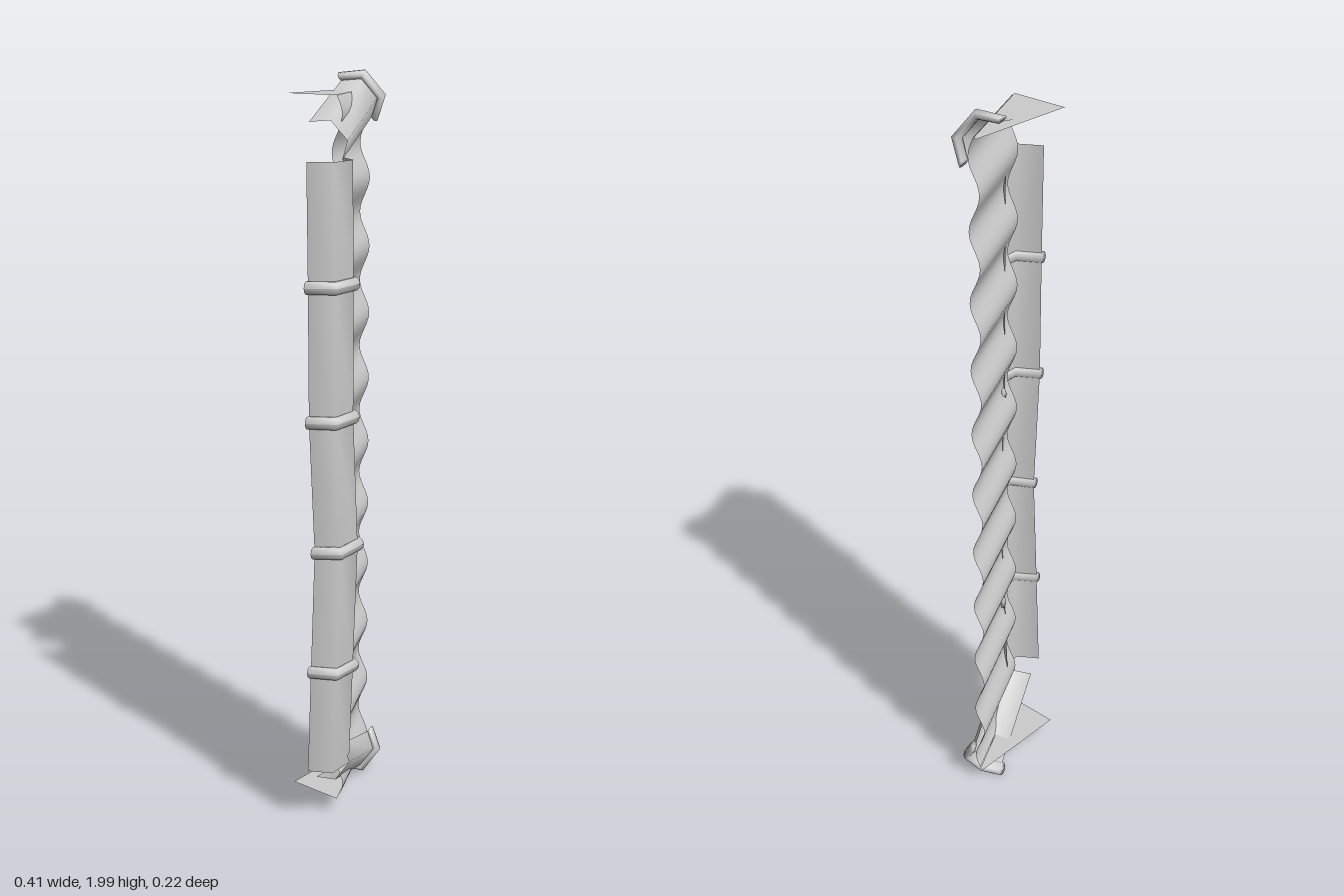
import * as THREE from 'three';

const V = (x, y, z) => new THREE.Vector3(x, y, z);
const material = new THREE.MeshStandardMaterial({ color: 0xcccccc, side: THREE.DoubleSide });

// Smooth surface through rows of points
function loft(name, rows) {
  const n = rows[0].length, index = [];
  for (let i = 0; i < rows.length - 1; i++) {
    for (let j = 0; j < n - 1; j++) {
      const a = i * n + j, b = a + 1, c = a + n, d = c + 1;
      index.push(a, b, c, b, d, c);
    }
  }
  const geometry = new THREE.BufferGeometry().setFromPoints(rows.flat());
  geometry.setIndex(index);
  geometry.computeVertexNormals();
  const mesh = new THREE.Mesh(geometry, material);
  mesh.name = name;
  return mesh;
}

// Open half-hexagon tile from one end to the other, with an optional rounded collar.
// The end points lie on one rim; "across" points towards the other rim.
function capTile(name, from, to, across, width, height, collar) {
  const group = new THREE.Group();
  group.name = name;
  const axis = to.clone().sub(from).normalize();
  const u = across.clone().addScaledVector(axis, -across.dot(axis)).normalize();
  const out = u.clone().cross(axis);
  if (out.z < 0) out.negate();
  const profile = [[0, 0], [0.24, 1], [0.76, 1], [1, 0]].map(([p, q]) => [p * width, q * height]);
  const place = (base, p, q, r) =>
    base.clone().addScaledVector(u, p).addScaledVector(out, q).addScaledVector(axis, r);
  group.add(loft('tileShell', [from, to].map(end => profile.map(([p, q]) => place(end, p, q, 0)))));

  if (collar) {
    const { at, halfLength, halfThickness } = collar;
    const rows = profile.map(([p, q]) => {
      const dir = new THREE.Vector2(p - width / 2, q).normalize();
      const row = [];
      for (let k = 0; k <= 10; k++) {
        const t = k / 10 * Math.PI * 2, s = halfThickness * (0.5 + Math.cos(t));
        row.push(place(at, p + dir.x * s, q + dir.y * s, halfLength * Math.sin(t)));
      }
      return row;
    });
    // Close both collar tips
    const tip = row => row.map(() => row[0].clone().lerp(row[5], 0.5));
    group.add(loft('tileCollar', [tip(rows[0]), ...rows, tip(rows[3])]));
  }
  return group;
}

export function createModel() {
  const model = new THREE.Group();
  const bottom = 0.06, top = 1.95;

  // Corrugated sloping roof sheet
  const waves = 10.5, steps = 126, rows = [];
  for (let i = 0; i <= steps; i++) {
    const t = i / steps;
    const offset = 0.013 * Math.cos((t - 0.5) * waves * Math.PI * 2);
    const y = bottom + (top - bottom) * t;
    rows.push([V(-0.095, y, 0.052), V(0.184, y, -0.072)]
      .map(p => p.add(V(0.41 * offset, 0, 0.91 * offset))));
  }
  model.add(loft('roofSheet', rows));

  // Triangular gable at each end
  for (const y of [bottom, top]) {
    const gable = loft('gableEnd', [
      [V(-0.1, y, 0.052), V(0.187, y, -0.075)],
      [V(-0.1, y, -0.1), V(0.187, y, -0.085)],
    ]);
    model.add(gable);
  }

  // Overlapping ridge tiles: height, rim x and rim z at each joint
  const joints = [
    [0.175, -0.188, 0.022], [0.475, -0.188, 0.035], [0.81, -0.178, 0.042],
    [1.16, -0.19, 0.036], [1.5, -0.19, 0.036], [1.8, -0.19, 0.034],
  ].map(([y, x, z]) => V(x, y, z));
  for (let i = 0; i < 5; i++) {
    const collar = i > 0 && { at: joints[i], halfLength: 0.017, halfThickness: 0.011 };
    model.add(capTile('ridgeTile', joints[i], joints[i + 1], V(1, 0, 0), 0.142, 0.057, collar));
  }

  // Verge tiles covering the sloping ends
  const verge = (name, from, to, across) => model.add(
    capTile(name, from, to, across, 0.12, 0.045, { at: to, halfLength: 0.02, halfThickness: 0.012 }));
  verge('topVergeTile', V(-0.155, 1.89, 0.015), V(0.125, 1.976, -0.1), V(0.47, -0.75, 0.47));
  verge('bottomVergeTile', V(-0.15, 0.14, 0.02), V(0.122, 0.026, -0.095), V(0.55, 0.75, 0.37));
  return model;
}
